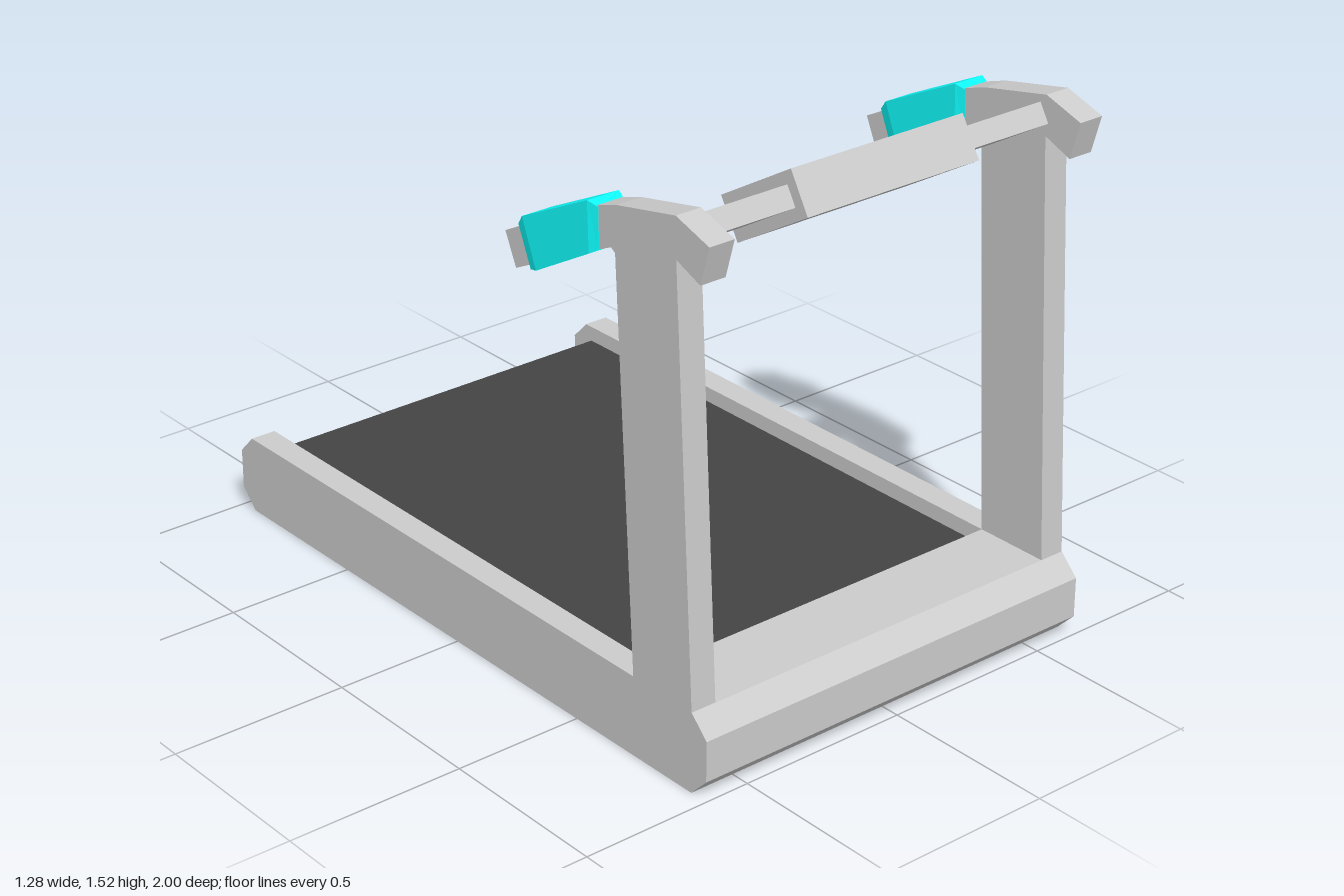
import * as THREE from 'three';

const paint = (color) => new THREE.MeshStandardMaterial({ color, flatShading: true });

// Side profile of [z, y] points, extruded along x from x0 to x1
function profileGeometry(points, x0, x1) {
  const shape = new THREE.Shape(points.map(([z, y]) => new THREE.Vector2(z, y)));
  const geometry = new THREE.ExtrudeGeometry(shape, { depth: x1 - x0, bevelEnabled: false });
  return geometry.rotateY(-Math.PI / 2).translate(x1, 0, 0);
}

// Closed loft through rectangular rings: top [z, y], bottom [z, y], half width
function loftGeometry(rings, cx) {
  const position = [], index = [];
  rings.forEach(([[tz, ty], [bz, by], w]) => position.push(
    cx - w, ty, tz, cx + w, ty, tz, cx + w, by, bz, cx - w, by, bz));
  for (let r = 0; r < rings.length - 1; r++) {
    for (let i = 0; i < 4; i++) {
      const a = r * 4 + i, b = r * 4 + (i + 1) % 4;
      index.push(a, b, b + 4, a, b + 4, a + 4);
    }
  }
  const e = (rings.length - 1) * 4;
  index.push(0, 2, 1, 0, 3, 2, e, e + 1, e + 2, e, e + 2, e + 3);
  const geometry = new THREE.BufferGeometry();
  geometry.setAttribute('position', new THREE.Float32BufferAttribute(position, 3));
  geometry.setIndex(index);
  const flat = geometry.toNonIndexed();
  flat.computeVertexNormals();
  return flat;
}

export function createModel() {
  const model = new THREE.Group();
  model.name = 'treadmill';
  const grey = paint(0xcccccc), black = paint(0x444444), cyan = paint(0x10ffff);
  const add = (name, geometry, material, parent = model) => {
    const mesh = new THREE.Mesh(geometry, material);
    mesh.name = name;
    parent.add(mesh);
    return mesh;
  };

  const inner = 0.557, outer = 0.632, mid = (inner + outer) / 2;

  const railProfile = [
    [-0.945, 0], [0.945, 0], [1, 0.056], [1, 0.169],
    [0.945, 0.225], [-0.945, 0.225], [-1, 0.169], [-1, 0.056]];

  // Leaning post with the hooked top and the handle arm in one outline
  const postProfile = [
    [0.945, 0.21], [0.88, 1.388], [0.965, 1.353], [0.995, 1.457], [0.877, 1.496],
    [0.665, 1.453], [0.595, 1.43], [0.24, 1.249], [0.28, 1.163], [0.595, 1.317],
    [0.645, 1.34], [0.66, 1.33], [0.725, 0.21]];

  // Grip sleeve with tapered ends
  const gripRings = [
    [[0.6, 1.427], [0.6, 1.317], 0.039],
    [[0.57, 1.437], [0.575, 1.303], 0.048],
    [[0.32, 1.315], [0.372, 1.19], 0.048],
    [[0.294, 1.285], [0.34, 1.18], 0.039]];

  for (const side of [1, -1]) {
    const name = side > 0 ? 'left' : 'right';
    const x0 = side > 0 ? inner : -outer, x1 = side > 0 ? outer : -inner;
    add(name + 'Rail', profileGeometry(railProfile, x0, x1), grey);
    add(name + 'PostAndArm', profileGeometry(postProfile, x0, x1), grey);
    add(name + 'Grip', loftGeometry(gripRings, side * mid), cyan);
  }

  // Front cross member
  add('frontCrossbar', profileGeometry([
    [0.725, 0], [0.945, 0], [1, 0.056], [1, 0.169], [0.945, 0.225], [0.725, 0.225],
  ], -inner, inner), grey);

  // Running belt with chamfered rear end
  add('belt', profileGeometry([
    [0.73, 0.045], [-0.92, 0.045], [-0.948, 0.073], [-0.948, 0.152],
    [-0.92, 0.18], [0.73, 0.18],
  ], -inner, inner), black);

  // Tilted console: beam, body and raised screen rim
  const consoleGroup = new THREE.Group();
  consoleGroup.name = 'console';
  consoleGroup.position.set(0, 1.391, 0.777);
  consoleGroup.rotation.x = -0.534;
  model.add(consoleGroup);

  const width = 0.554, depth = 0.285, height = 0.121, recess = 0.03;
  // The beam is in two halves that stop inside the body
  for (const side of [1, -1]) {
    const beam = add(side > 0 ? 'leftBeam' : 'rightBeam',
      new THREE.BoxGeometry(0.3, 0.058, 0.222), grey, consoleGroup);
    beam.position.x = side * (inner - 0.15);
  }
  add('consoleBody', new THREE.BoxGeometry(width, height - recess, depth), grey, consoleGroup)
    .position.y = -recess / 2;

  const rectangle = (Type, w, d) => new Type([
    new THREE.Vector2(-w / 2, -d / 2), new THREE.Vector2(w / 2, -d / 2),
    new THREE.Vector2(w / 2, d / 2), new THREE.Vector2(-w / 2, d / 2)]);
  const rim = rectangle(THREE.Shape, width, depth);
  rim.holes.push(rectangle(THREE.Path, 0.496, 0.244));
  const rimGeometry = new THREE.ExtrudeGeometry(rim, { depth: recess, bevelEnabled: false });
  rimGeometry.rotateX(-Math.PI / 2).translate(0, height / 2 - recess, 0);
  add('screenRim', rimGeometry, grey, consoleGroup);

  return model;
}
